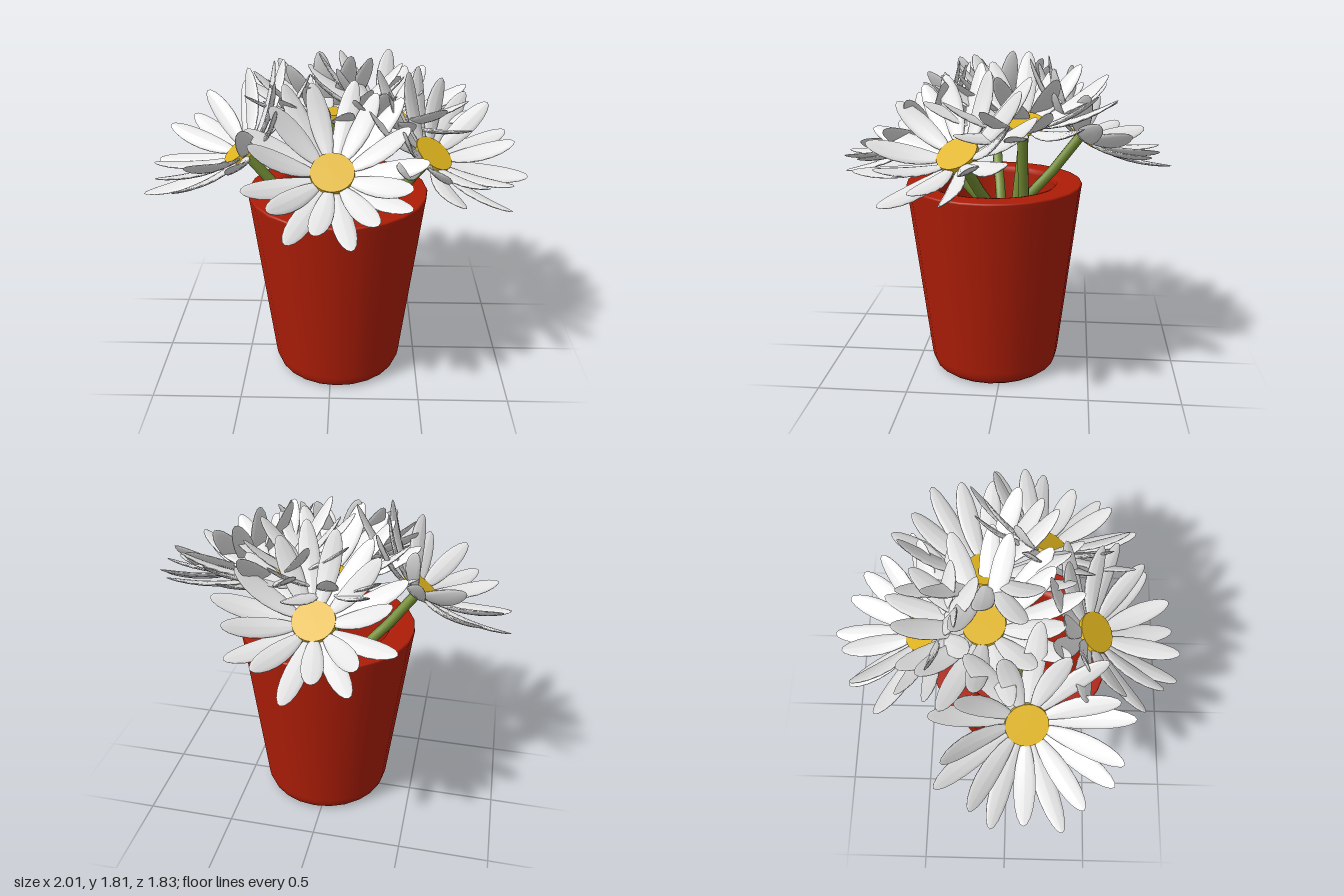
import * as THREE from 'three';
import { mergeGeometries } from 'three/addons/utils/BufferGeometryUtils.js';

const mat = (name, color) => {
  const m = new THREE.MeshStandardMaterial({ color });
  m.name = name;
  return m;
};

const CENTRE = new THREE.Vector3(0.037, 0, 0.055);
const UP = new THREE.Vector3(0, 1, 0);

// Small repeatable jitter in the range -1..1
let seed = 7;
const jitter = () => {
  seed = (seed * 16807) % 2147483647;
  return (seed / 2147483647) * 2 - 1;
};

// One thin solid petal along +x: narrow root, broad middle, tapered tip, curling upwards
function petalGeometry(length, halfWidth) {
  const g = new THREE.SphereGeometry(1, 10, 10);
  g.rotateZ(-Math.PI / 2);
  const p = g.attributes.position;
  for (let i = 0; i < p.count; i++) {
    const t = (p.getX(i) + 1) / 2;
    const flare = 0.65 + 0.85 * t - 0.5 * t * t;
    p.setXYZ(i, length * t, p.getY(i) * 0.013 + 0.26 * length * t * t, p.getZ(i) * halfWidth * flare);
  }
  g.computeVertexNormals();
  return g;
}

// Two alternating layers of petals, merged into one ring
function petalRing(scale) {
  const count = 18;
  const petals = [];
  for (let i = 0; i < count; i++) {
    const inner = i % 2 === 1;
    const rise = THREE.MathUtils.degToRad((inner ? 18 : 6) + 4 * jitter());
    const g = petalGeometry(((inner ? 0.41 : 0.45) + 0.02 * jitter()) * scale, 0.06);
    g.rotateX(0.2 * jitter());
    g.rotateZ(rise);
    g.translate(0.07, inner ? -0.002 : -0.008, 0);
    g.rotateY((i / count) * Math.PI * 2 + 0.07 * jitter());
    petals.push(g);
  }
  return mergeGeometries(petals);
}

export function createModel() {
  const model = new THREE.Group();
  const red = mat('potRed', 0xae1d07);
  const white = mat('petalWhite', 0xe8e8e8);
  const yellow = mat('discYellow', 0xdeb31e);
  const green = mat('stemGreen', 0x748d34);

  // Tapered pot: rounded foot, broad flat rim, hollow inside
  const profile = [
    [0, 0], [0.31, 0], [0.335, 0.004], [0.355, 0.02], [0.367, 0.05], [0.373, 0.08],
    [0.489, 1.06], [0.494, 1.09], [0.492, 1.098], [0.484, 1.1],
    [0.38, 1.1], [0.355, 1.094], [0.345, 1.07], [0.3, 0.12], [0.29, 0.1], [0, 0.1],
  ].map(([r, y]) => new THREE.Vector2(r, y));
  const pot = new THREE.Mesh(new THREE.LatheGeometry(profile, 24), red);
  pot.name = 'pot';
  pot.position.copy(CENTRE);
  model.add(pot);

  // Flower heads: position, lean direction (x, z), lean in degrees, petal scale
  const flowers = [
    { name: 'rightFlower', at: [-0.467, 1.335, 0.1], lean: [-0.97, 0.2], tilt: 37, scale: 1.05 },
    { name: 'frontFlower', at: [0.02, 1.345, 0.44], lean: [0, 1], tilt: 38, scale: 0.94 },
    { name: 'leftFlower', at: [0.53, 1.345, 0.18], lean: [0.85, 0.53], tilt: 37, scale: 0.96 },
    { name: 'backFlower', at: [0, 1.365, -0.43], lean: [0, -1], tilt: 37, scale: 0.95 },
    { name: 'middleFlower', at: [0, 1.46, -0.12], lean: [-0.3, -1], tilt: 6, scale: 1 },
    { name: 'innerFlower', at: [0.3, 1.465, -0.12], lean: [1, 0], tilt: 15, scale: 1.02 },
  ];

  for (const f of flowers) {
    const a = THREE.MathUtils.degToRad(f.tilt);
    const flat = new THREE.Vector3(f.lean[0], 0, f.lean[1]).normalize();
    const normal = flat.clone().multiplyScalar(Math.sin(a)).addScaledVector(UP, Math.cos(a));
    const at = new THREE.Vector3(...f.at);

    const flower = new THREE.Group();
    flower.name = f.name;

    const head = new THREE.Group();
    head.name = 'flowerHead';
    head.position.copy(at);
    head.quaternion.setFromUnitVectors(UP, normal);

    const petals = new THREE.Mesh(petalRing(f.scale), white);
    petals.name = 'petals';
    const disc = new THREE.Mesh(new THREE.CylinderGeometry(0.11, 0.113, 0.036, 28), yellow);
    disc.name = 'disc';
    disc.position.y = 0.007;
    head.add(petals, disc);

    // Stem runs straight down from the head, then bends towards the pot floor
    const knee = at.clone().addScaledVector(normal, -0.55);
    const foot = CENTRE.clone().lerp(knee, 0.6).setY(0.1);
    const path = new THREE.CatmullRomCurve3([
      foot,
      knee,
      at.clone().addScaledVector(normal, -0.25),
      at.clone().addScaledVector(normal, -0.005),
    ]);
    const stem = new THREE.Mesh(new THREE.TubeGeometry(path, 16, 0.029, 10), green);
    stem.name = 'stem';

    flower.add(head, stem);
    model.add(flower);
  }
  return model;
}
